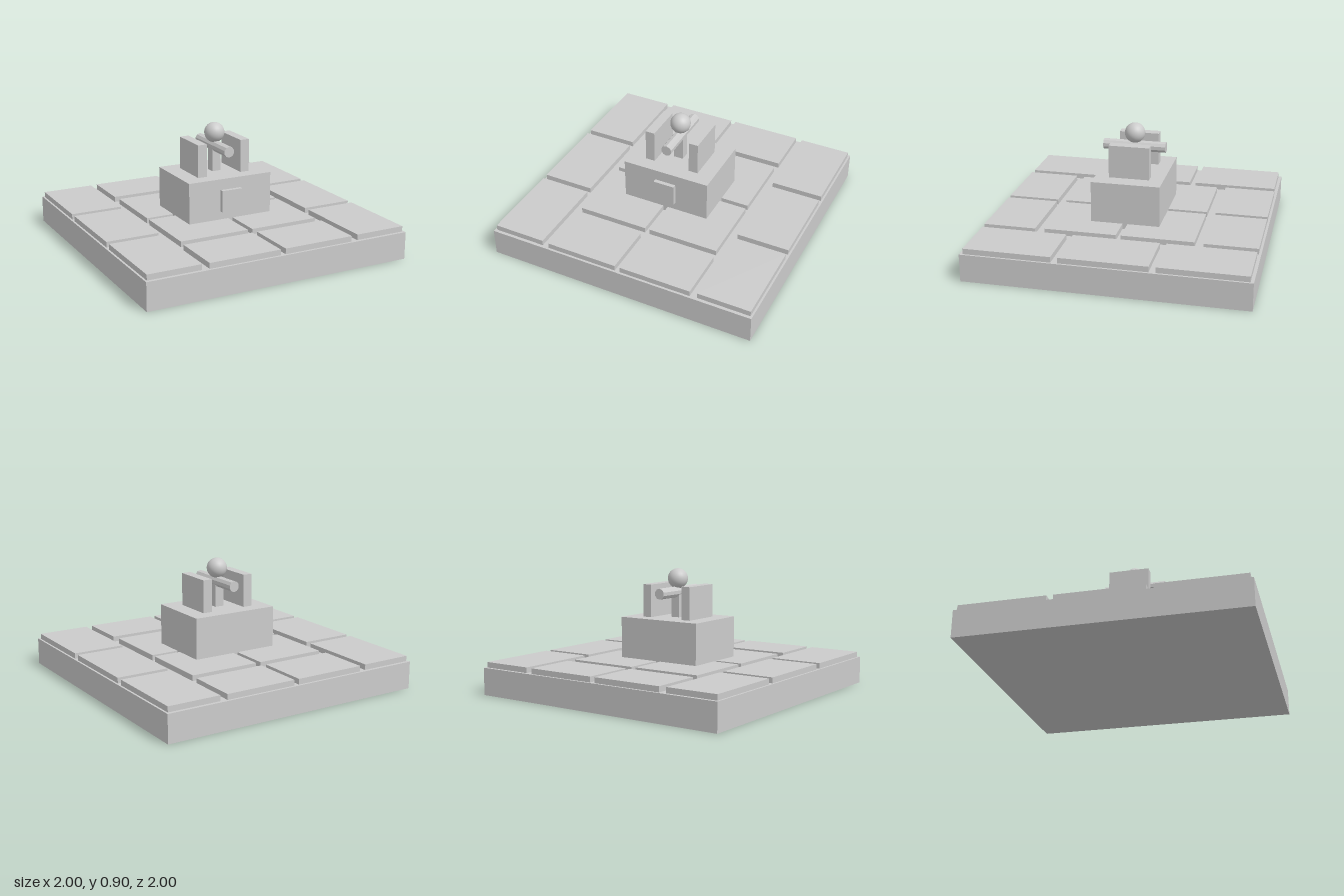
import * as THREE from 'three';

export function createModel() {
  const model = new THREE.Group();
  const material = new THREE.MeshStandardMaterial({ color: 0xcccccc });
  const flat = new THREE.MeshStandardMaterial({ color: 0xcccccc, flatShading: true });

  function add(name, geometry, x, y, z, mat = material) {
    const mesh = new THREE.Mesh(geometry, mat);
    mesh.name = name;
    mesh.position.set(x, y, z);
    model.add(mesh);
    return mesh;
  }
  // Box given by its size, centre x and z, and bottom height
  const box = (name, w, h, d, x, bottom, z) =>
    add(name, new THREE.BoxGeometry(w, h, d), x, bottom + h / 2, z);

  // Ground plate
  box('base', 2, 0.2, 2, 0, 0, 0);

  // Paving slabs: outer columns of three, front and back pairs, inner four
  const slab = (w, d, x, z) => box('pavingSlab', w, 0.04, d, x, 0.2, z);
  for (const sx of [-1, 1]) {
    for (const z of [-0.667, 0, 0.667]) slab(0.385, 0.62, sx * 0.793, z);
    for (const sz of [-1, 1]) {
      slab(0.53, 0.38, sx * 0.284, sz * 0.793);
      slab(0.52, 0.52, sx * 0.278, sz * 0.278);
    }
  }

  // Pedestal with front panel
  box('pedestal', 0.66, 0.34, 0.5, 0, 0.2, 0);
  box('frontPanel', 0.16, 0.16, 0.04, 0, 0.3, 0.26);

  // Uprights on either side of the central post
  for (const sx of [-1, 1]) box('upright', 0.07, 0.24, 0.295, sx * 0.172, 0.54, 0);
  box('centralPost', 0.07, 0.18, 0.07, 0, 0.54, 0);

  // Horizontal bar and the ball on top
  const bar = add('crossBar', new THREE.CylinderGeometry(0.04, 0.04, 0.46, 10), 0, 0.725, 0, flat);
  bar.rotation.x = Math.PI / 2;
  add('ball', new THREE.SphereGeometry(0.074, 24, 16), 0, 0.823, 0);

  return model;
}
